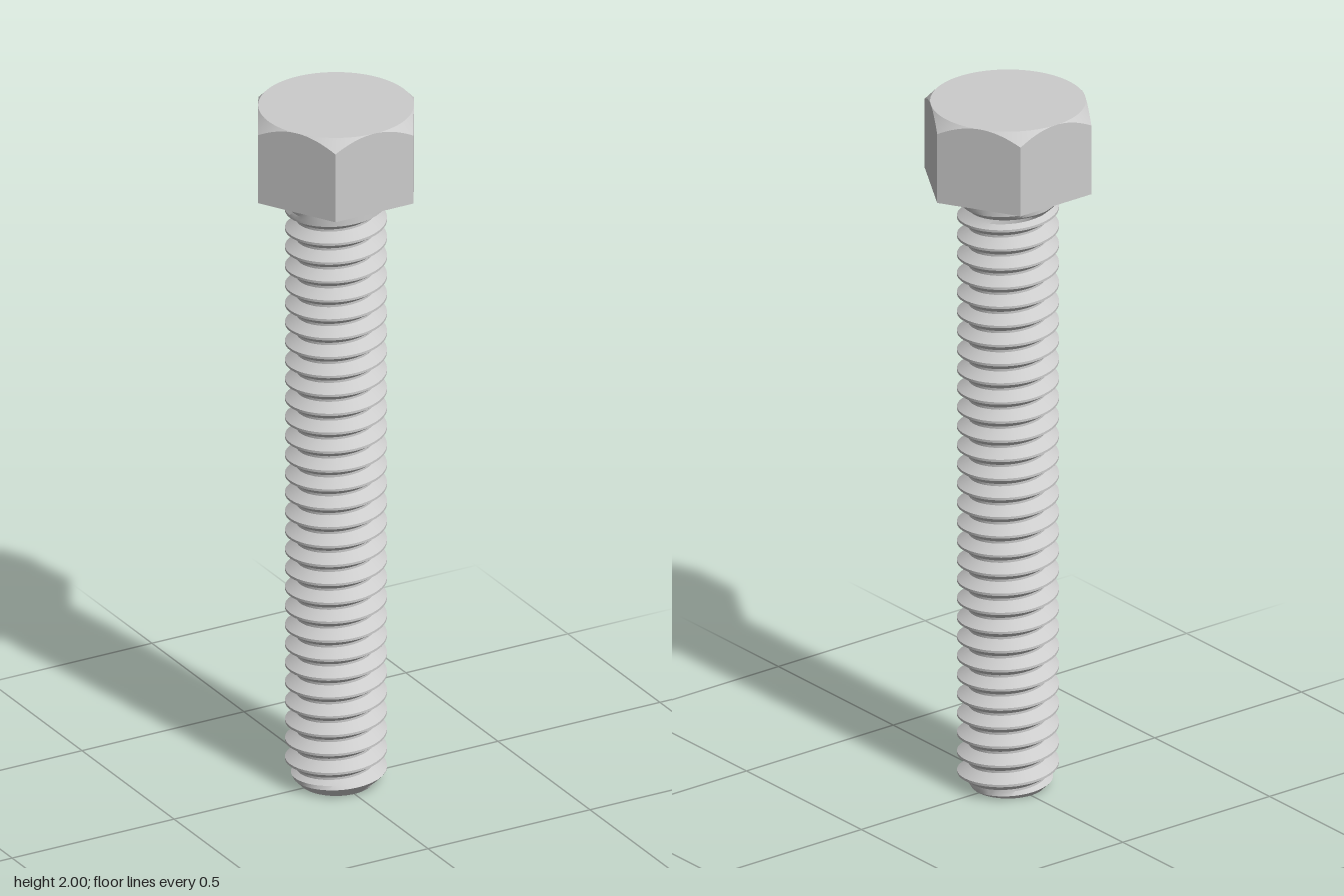
import * as THREE from 'three';
import { toCreasedNormals } from 'three/addons/utils/BufferGeometryUtils.js';

const TAU = Math.PI * 2;
const HEAD_BASE = 1.765, TOP = 2, APOTHEM = 0.209;
const MAJOR = 0.137, MINOR = 0.106, PITCH = 0.056;

// Closed surface around y: at(angle, row) returns [radius, height]
function roundSurface(cols, rows, at) {
  const positions = [], indices = [];
  for (let i = 0; i <= cols; i++) {
    const a = (i / cols) * TAU;
    for (let j = 0; j < rows; j++) {
      const [r, y] = at(a, j);
      positions.push(r * Math.cos(a), y, -r * Math.sin(a));
    }
  }
  for (let i = 0; i < cols; i++) {
    for (let j = 0; j < rows - 1; j++) {
      const a = i * rows + j, b = a + rows;
      indices.push(a, b, b + 1, a, b + 1, a + 1);
    }
  }
  const geometry = new THREE.BufferGeometry();
  geometry.setAttribute('position', new THREE.Float32BufferAttribute(positions, 3));
  geometry.setIndex(indices);
  return toCreasedNormals(geometry, 0.5);
}

// Hexagonal prism whose top corners are cut by a cone
function headGeometry() {
  return roundSurface(120, 5, (a, j) => {
    const off = (a % (TAU / 6)) - TAU / 12;
    const r = APOTHEM / Math.cos(off);
    const shoulder = TOP - (r - APOTHEM) * 1.05;
    return [[0, HEAD_BASE], [r, HEAD_BASE], [r, shoulder], [APOTHEM, TOP], [0, TOP]][j];
  });
}

// Right-hand helical thread with a chamfered tip and a plain neck under the head
function shankGeometry() {
  // One pitch of the thread: fraction of the pitch, and depth from crest (0) to root (1)
  const profile = [[0, 0], [0.06, 0], [0.25, 0.5], [0.44, 1], [0.56, 1], [0.75, 0.5], [0.94, 0]];
  const turns = Math.ceil(HEAD_BASE / PITCH) + 3;
  const rows = turns * profile.length + 2;
  return roundSurface(64, rows, (a, j) => {
    if (j === 0) return [0, 0];
    if (j === rows - 1) return [MAJOR, HEAD_BASE + 0.005];
    const k = j - 1;
    const [step, depth] = profile[k % profile.length];
    const turn = Math.floor(k / profile.length) - 2;
    const y = THREE.MathUtils.clamp(0.045 + (turn + step + a / TAU) * PITCH, 0, HEAD_BASE);
    const thread = MAJOR - depth * (MAJOR - MINOR);
    const runout = MINOR + THREE.MathUtils.clamp((y - 1.69) / 0.025, 0, 1) * (MAJOR - MINOR);
    const tip = 0.1 + y * 0.95;
    return [Math.min(Math.max(thread, runout), tip), y];
  });
}

export function createModel() {
  const group = new THREE.Group();
  group.name = 'hexBolt';
  const material = new THREE.MeshStandardMaterial({ color: 0xcccccc });
  const add = (name, geometry) => {
    const mesh = new THREE.Mesh(geometry, material);
    mesh.name = name;
    group.add(mesh);
  };
  add('hexHead', headGeometry());
  add('threadedShank', shankGeometry());
  return group;
}
